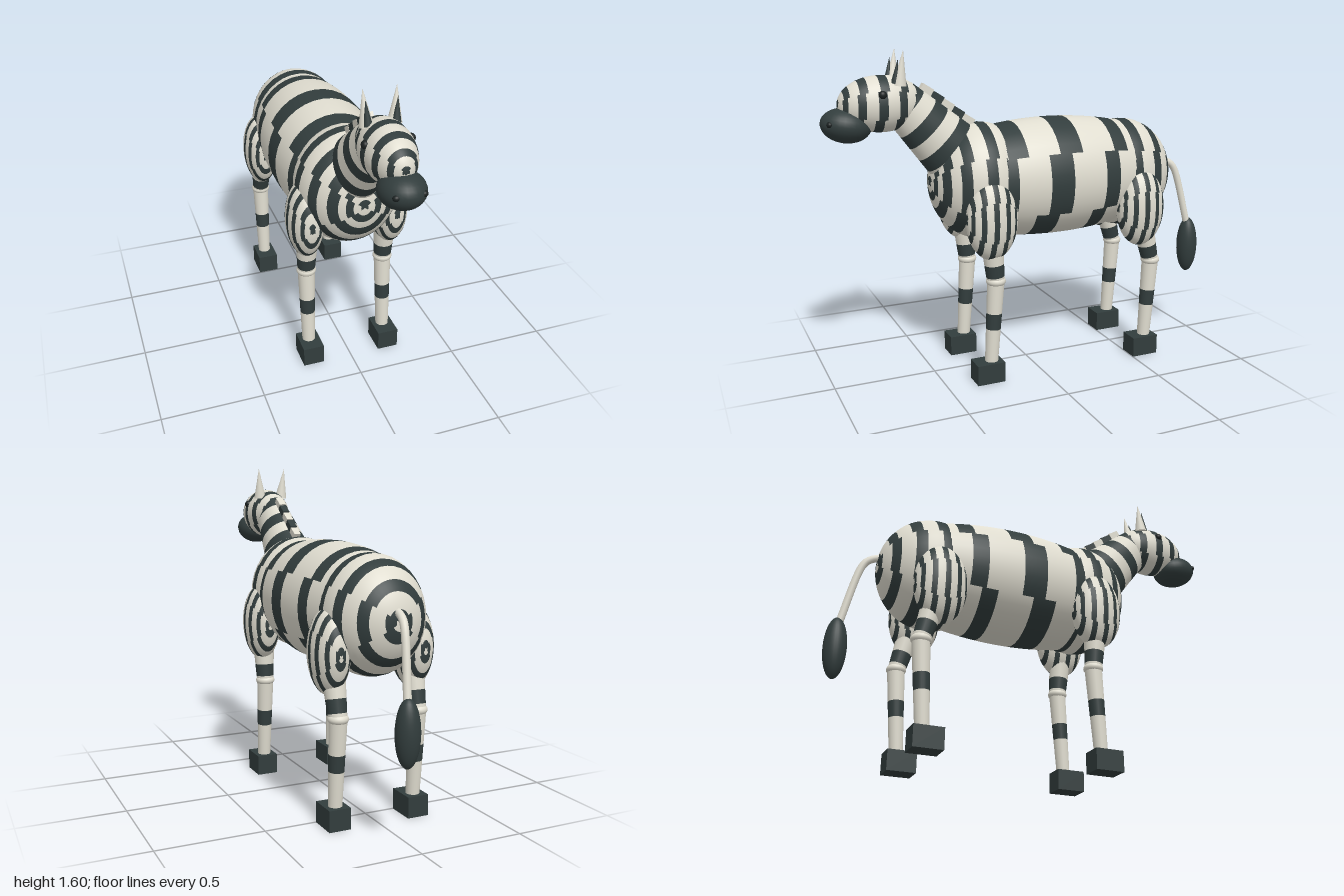
import * as THREE from 'three';

const mat = (name, color) => Object.assign(new THREE.MeshStandardMaterial({ color }), { name });

export function createModel() {
  const model = new THREE.Group();
  model.name = 'stripedHorse';
  const cream = mat('cream', 0xe0ddd0);
  const charcoal = mat('charcoal', 0x323d3d);
  const black = mat('black', 0x1b2121);

  const add = (name, geo, material, pos = [0, 0, 0], parent = model) => {
    const m = new THREE.Mesh(geo, material);
    m.name = name;
    m.position.set(...pos);
    parent.add(m);
    return m;
  };

  // Sort triangles into cream and charcoal groups by a rule on their centroid
  const paint = (geo, isDark) => {
    const idx = geo.index.array, p = geo.attributes.position;
    const sets = [[], []], v = new THREE.Vector3(), c = new THREE.Vector3();
    for (let i = 0; i < idx.length; i += 3) {
      c.set(0, 0, 0);
      for (let k = 0; k < 3; k++) c.add(v.fromBufferAttribute(p, idx[i + k]));
      c.divideScalar(3);
      sets[isDark(c) ? 1 : 0].push(idx[i], idx[i + 1], idx[i + 2]);
    }
    geo.setIndex([...sets[0], ...sets[1]]);
    geo.clearGroups();
    geo.addGroup(0, sets[0].length, 0);
    geo.addGroup(sets[0].length, sets[1].length, 1);
    return geo;
  };
  const striped = [cream, charcoal];
  const inBands = (bands, t) => bands.some(([a, b]) => t > a && t < b);

  // Stripes step forward once at each third of the way from back to belly
  const sector = (c) => Math.min(2, Math.floor(THREE.MathUtils.radToDeg(Math.atan2(Math.abs(c.x), c.y)) / 60));

  // Ellipsoid with poles along z, ringed with stepped bands given in degrees from the front pole
  const evenBands = [0, 1, 2, 3, 4, 5, 6, 7].map((i) => [i * 28, i * 28 + 12]);
  const stripedBall = (name, pos, r, bands = evenBands) => {
    const geo = new THREE.SphereGeometry(1, 36, 45).rotateX(Math.PI / 2);
    paint(geo, (c) => {
      const angle = THREE.MathUtils.radToDeg(Math.acos(c.z / c.length()));
      return inBands(bands, (Math.floor(angle / 4) + 0.5) * 4 + 4 * sector(c));
    });
    return add(name, geo.scale(...r), striped, pos);
  };
  const ball = (name, pos, r, material) =>
    add(name, new THREE.SphereGeometry(1, 28, 18).scale(...r), material, pos);

  // Barrel of the body, bulging in the middle
  const barrelLength = 0.94, barrelMid = -0.11;
  const barrel = new THREE.CylinderGeometry(1, 1, barrelLength, 36, 47, true).rotateX(Math.PI / 2);
  paint(barrel, (c) => {
    const z = (Math.floor(c.z / 0.02 + 0.5)) * 0.02 + barrelMid - 0.06 * sector(c);
    return inBands([[0.09, 0.18], [-0.2, -0.08], [-0.46, -0.37]], z);
  });
  const bp = barrel.attributes.position;
  for (let i = 0; i < bp.count; i++) {
    const k = Math.sqrt(1 - ((bp.getZ(i) + 0.02) / 0.76) ** 2);
    bp.setXY(i, bp.getX(i) * 0.27 * k, bp.getY(i) * 0.295 * k);
  }
  barrel.computeVertexNormals();
  add('barrel', barrel, striped, [0, 0.955, barrelMid]);

  // Chest and rump
  stripedBall('chest', [0, 0.96, 0.25], [0.25, 0.285, 0.25],
    [[0, 9], [16, 24], [32, 44], [56, 68], [84, 96], [108, 120]]);
  stripedBall('rump', [0, 0.94, -0.53], [0.24, 0.277, 0.265]);

  // Neck, tapered and narrower across, with the mane on its back edge
  const neck = new THREE.Group();
  neck.name = 'neck';
  neck.position.set(0, 1.18, 0.45);
  neck.rotation.x = Math.PI / 4;
  model.add(neck);
  const neckLength = 0.56;
  const neckGeo = new THREE.CylinderGeometry(0.1, 0.18, neckLength, 32, 56, true);
  paint(neckGeo, (c) => inBands([[0.21, 0.28], [0.35, 0.42], [0.49, 0.55]],
    (Math.floor((c.y + neckLength / 2) / 0.01) + 0.5) * 0.01));
  add('neckSurface', neckGeo.scale(0.78, 1, 1), striped, [0, 0, 0], neck);
  for (let i = 0; i < 5; i++) {
    const s = 0.23 + i * 0.062;
    const tuft = add('maneTuft', new THREE.BoxGeometry(0.035, 0.06, 0.06), i % 2 ? charcoal : cream,
      [0, s - neckLength / 2, -(0.18 - 0.143 * s)], neck);
    tuft.rotation.x = 0.22;
  }

  // Head and muzzle
  stripedBall('head', [0, 1.355, 0.72], [0.112, 0.13, 0.2]);
  ball('muzzle', [0, 1.265, 0.884], [0.1, 0.08, 0.116], charcoal).rotation.x = -0.15;

  // Limb segment built as stacked tapered pieces; stops = fractions where the colour alternates
  const limb = (name, a, b, r0, r1, stops) => {
    const from = new THREE.Vector3(...a), to = new THREE.Vector3(...b);
    const dir = to.clone().sub(from), ts = [0, ...stops, 1];
    for (let i = 0; i < ts.length - 1; i++) {
      const t0 = ts[i], t1 = ts[i + 1], lerp = THREE.MathUtils.lerp;
      const geo = new THREE.CylinderGeometry(lerp(r0, r1, t1), lerp(r0, r1, t0), dir.length() * (t1 - t0), 20);
      const mid = from.clone().addScaledVector(dir, (t0 + t1) / 2);
      add(name, geo, i % 2 ? charcoal : cream, mid.toArray())
        .quaternion.setFromUnitVectors(new THREE.Vector3(0, 1, 0), dir.clone().normalize());
    }
  };

  // Legs: z of the muscle, upper end, knee, ankle and hoof
  const legs = [
    ['front', 0.265, 0.81, 0.262, 0.245, 0.272, 0.29],
    ['rear', -0.54, 0.79, -0.565, -0.615, -0.588, -0.572],
  ];
  for (const side of [-1, 1]) {
    const x = side * 0.2;
    for (const [end, zMuscle, yMuscle, zTop, zKnee, zAnkle, zHoof] of legs) {
      stripedBall(end + 'LegMuscle', [side * 0.21, yMuscle, zMuscle], [0.09, 0.195, 0.127]);
      limb(end + 'UpperLeg', [x, 0.7, zTop], [x, 0.5, zKnee], 0.055, 0.042, [0.55, 0.86]);
      ball(end + 'Knee', [x, 0.505, zKnee], [0.048, 0.03, 0.048], cream);
      limb(end + 'LowerLeg', [x, 0.5, zKnee], [x, 0.08, zAnkle], 0.042, 0.032, [0.37, 0.56]);
      add(end + 'Hoof', new THREE.BoxGeometry(0.105, 0.1, 0.14), charcoal, [x, 0.05, zHoof]);
    }

    // Ears with dark inner faces
    const ear = add('ear', new THREE.ConeGeometry(0.032, 0.16, 18), cream, [side * 0.068, 1.52, 0.638]);
    ear.rotation.set(-0.12, 0, -side * 0.08);
    const inner = add('innerEar', new THREE.ConeGeometry(0.02, 0.11, 14), charcoal, [side * 0.066, 1.505, 0.66]);
    inner.rotation.set(-0.12, 0, -side * 0.08);

    // Eyes and nostrils
    ball('eye', [side * 0.1, 1.405, 0.735], [0.017, 0.019, 0.019], black);
    ball('nostril', [side * 0.058, 1.28, 0.968], [0.017, 0.014, 0.014], black);
  }

  // Tail and its tuft
  const tailPath = new THREE.CatmullRomCurve3([
    [0, 0.99, -0.76], [0.012, 0.965, -0.83], [0.018, 0.93, -0.86], [0.045, 0.62, -0.94],
  ].map((p) => new THREE.Vector3(...p)));
  add('tail', new THREE.TubeGeometry(tailPath, 24, 0.018, 14), cream);
  ball('tailTuft', [0.045, 0.505, -0.945], [0.055, 0.15, 0.054], charcoal);

  return model;
}
